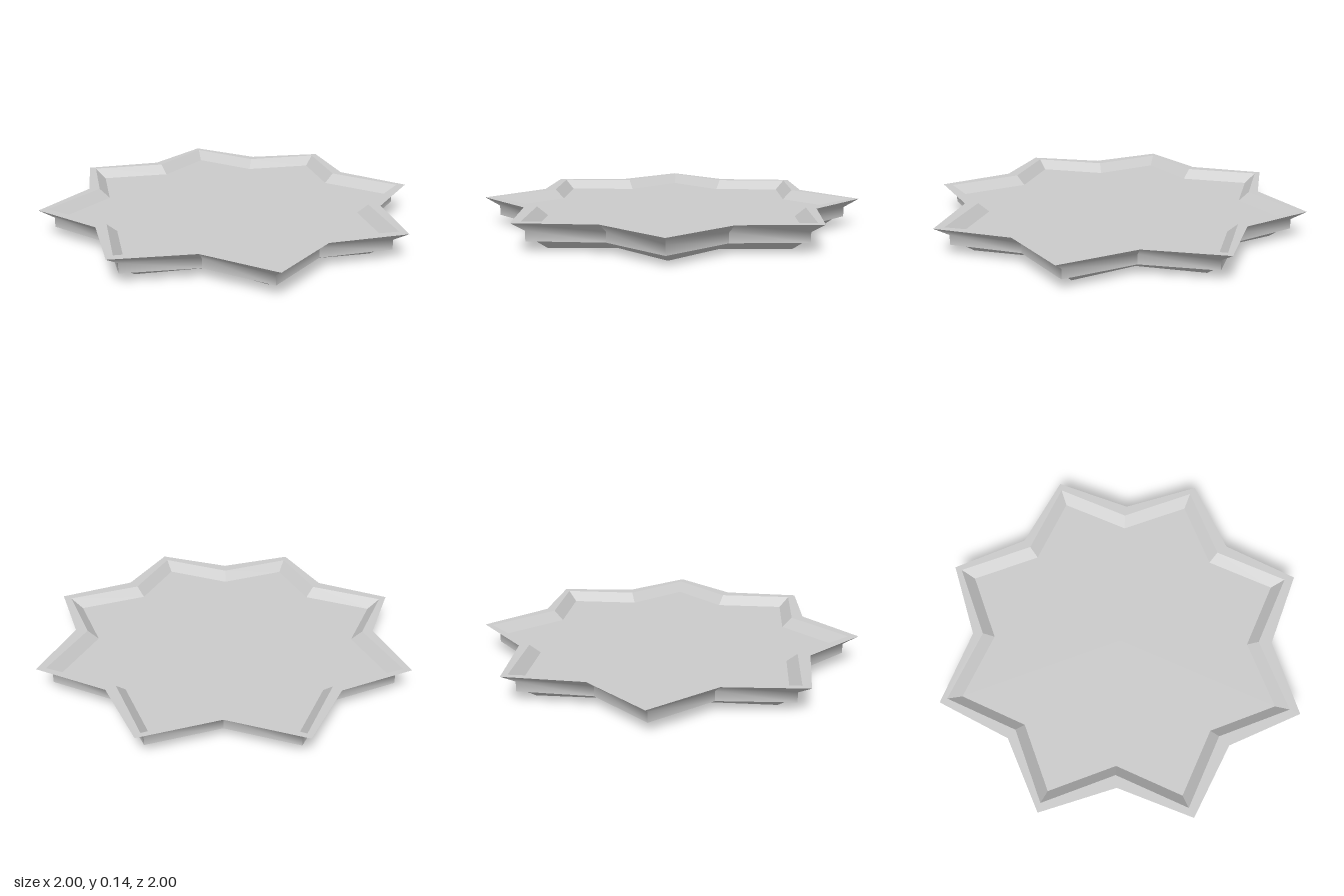
import * as THREE from 'three';

const POINTS = 8;

// One star outline: tip radius, valley radius, height, small sideways shift
const ring = (tip, valley, y, shift = 0) => ({ tip, valley, y, shift });

function corner(r, i) {
  const angle = (i * Math.PI) / POINTS;
  const radius = i % 2 ? r.valley : r.tip;
  return [radius * Math.cos(angle) + r.shift, r.y, radius * Math.sin(angle) + r.shift];
}

// Skins consecutive outlines; each side is separate, so corners stay sharp
// while the surface is smooth from one outline to the next.
function starBand(name, rings, material) {
  const position = [], index = [];
  for (let i = 0; i < POINTS * 2; i++) {
    const base = position.length / 3;
    for (const r of rings) position.push(...corner(r, i), ...corner(r, i + 1));
    for (let k = 0; k < rings.length - 1; k++) {
      const a = base + k * 2, b = a + 1, c = a + 2, d = a + 3;
      if (rings[k].tip > 0) index.push(a, b, c);
      if (rings[k + 1].tip > 0) index.push(b, d, c);
    }
  }
  const geometry = new THREE.BufferGeometry();
  geometry.setAttribute('position', new THREE.Float32BufferAttribute(position, 3));
  geometry.setIndex(index);
  geometry.computeVertexNormals();
  const mesh = new THREE.Mesh(geometry, material);
  mesh.name = name;
  return mesh;
}

export function createModel() {
  const group = new THREE.Group();
  group.name = 'starTray';
  const material = new THREE.MeshStandardMaterial({ color: 0xcccccc });
  const s = -0.006;

  // Outlines from the middle of the floor, over the rim, to the underside
  const floorCentre = ring(0, 0, 0.097, s);
  const floorEdge = ring(0.88, 0.675, 0.097, s);
  const rimInner = ring(0.952, 0.73, 0.145, s);
  const rimOuter = ring(1, 0.79, 0.145);
  const flareFoot = ring(0.922, 0.728, 0.1);
  const wallFoot = ring(0.922, 0.728, 0.05);
  const baseTop = ring(0.885, 0.677, 0.05, s);
  const baseFoot = ring(0.81, 0.62, 0, s);
  const baseCentre = ring(0, 0, 0, s);

  const parts = {
    floor: [floorCentre, floorEdge],
    innerWall: [floorEdge, rimInner],
    rim: [rimInner, rimOuter],
    flaredOuterWall: [rimOuter, flareFoot, wallFoot],
    underLedge: [wallFoot, baseTop],
    bevelledBase: [baseTop, baseFoot],
    underside: [baseFoot, baseCentre],
  };
  for (const [name, rings] of Object.entries(parts)) group.add(starBand(name, rings, material));
  return group;
}
